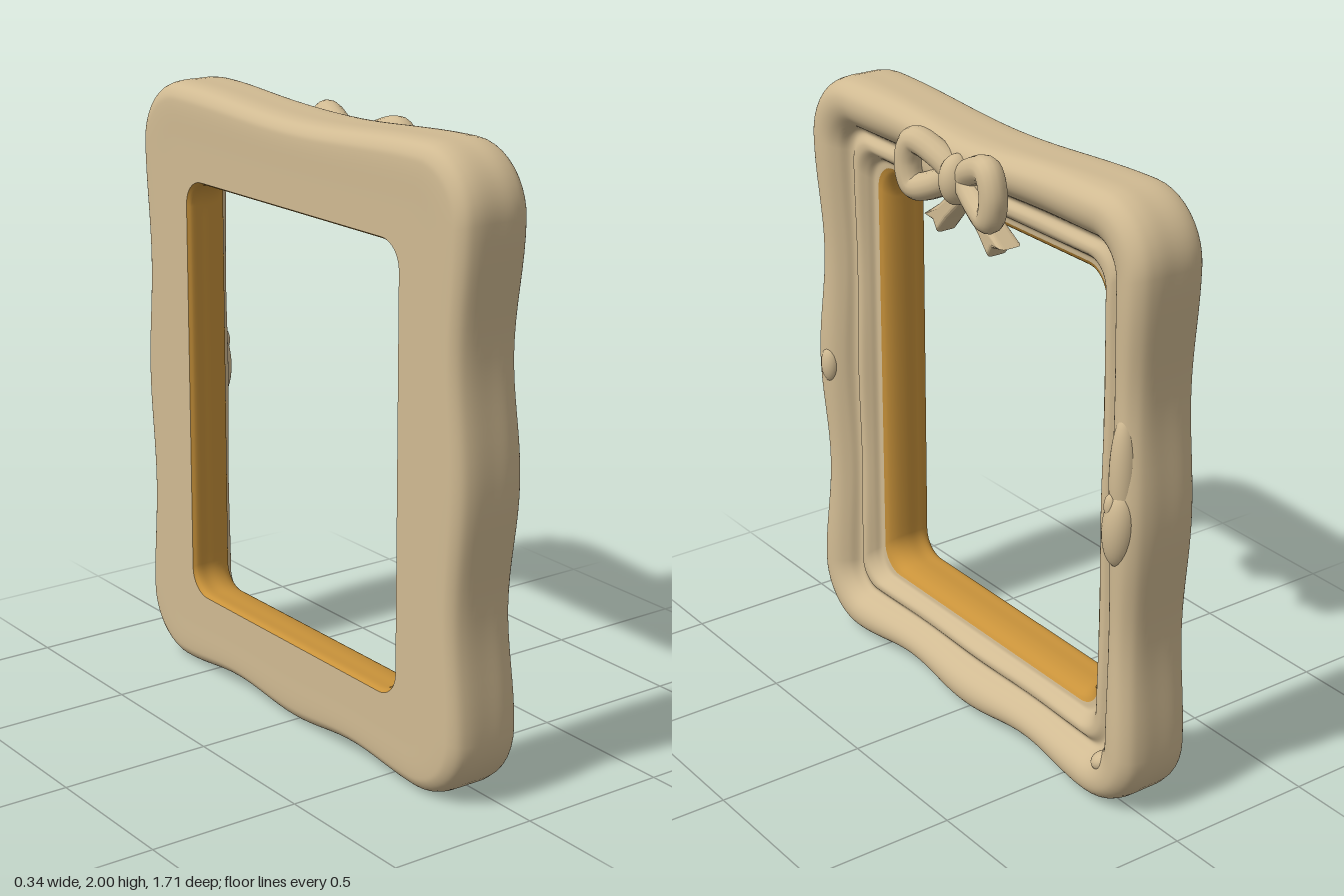
import * as THREE from 'three';

const cream = new THREE.MeshStandardMaterial({ color: 0xd0ba92 });
cream.name = 'cream';
const gold = new THREE.MeshStandardMaterial({ color: 0xc8923a });
gold.name = 'gold';

// Local space: x across the frame, y up, z out of its face.
const ARC = 10, SIDE = 32;

// One wavy rounded-rectangle ring, inset by d from the outer edge, at depth z
function ring(d, z) {
  const hx = 0.855 - d, top = 2 - 1.03 * d, bottom = 0.005 + 0.94 * d;
  const r = Math.max(0.085, 0.21 - 0.75 * d);
  const wave = Math.max(0, 1 - d / 0.2);
  const front = THREE.MathUtils.smoothstep(z, 0, 0.08);
  const centres = [[hx - r, bottom + r], [hx - r, top - r], [-hx + r, top - r], [-hx + r, bottom + r]];
  const pts = [];
  for (let c = 0; c < 4; c++) {
    const a0 = (c - 1) * Math.PI / 2;
    const [cx, cy] = centres[c], [nx, ny] = centres[(c + 1) % 4];
    for (let i = 0; i < ARC; i++) {
      const a = a0 + (i / ARC) * Math.PI / 2;
      pts.push([cx + r * Math.cos(a), cy + r * Math.sin(a), z]);
    }
    // straight run after this corner: top, left, bottom or right
    const a = a0 + Math.PI / 2, out = [Math.cos(a), Math.sin(a)];
    for (let i = 0; i < SIDE; i++) {
      const t = i / SIDE, u = 2 * t - 1;
      const double = Math.sin(Math.PI * u) ** 2;
      const single = Math.cos(Math.PI * u / 2) ** 2;
      const push = -wave * (c === 1 ? 0.03 * single : 0.028 * double);
      pts.push([
        cx + (nx - cx) * t + out[0] * (r + push),
        cy + (ny - cy) * t + out[1] * (r + push),
        z - 0.014 * front * double,
      ]);
    }
  }
  return pts;
}

// Skin a profile of [inset, depth] points right round the frame
function sweep(name, profile, steps, material) {
  const curve = new THREE.CatmullRomCurve3(profile.map(([d, z]) => new THREE.Vector3(d, z, 0)), false, 'centripetal');
  const rings = curve.getPoints(steps).map((p) => ring(p.x, p.y));
  const n = rings[0].length, index = [];
  for (let i = 0; i < rings.length - 1; i++) {
    for (let j = 0; j < n; j++) {
      const k = (j + 1) % n, a = i * n, b = a + n;
      index.push(a + j, a + k, b + j, a + k, b + k, b + j);
    }
  }
  const geo = new THREE.BufferGeometry();
  geo.setAttribute('position', new THREE.Float32BufferAttribute(rings.flat(2), 3));
  geo.setIndex(index);
  geo.computeVertexNormals();
  return part(name, geo, material);
}

function part(name, geo, material = cream) {
  const mesh = new THREE.Mesh(geo, material);
  mesh.name = name;
  return mesh;
}

function blob(name, pos, size, tilt = 0) {
  const mesh = part(name, new THREE.SphereGeometry(1, 28, 20));
  mesh.position.set(...pos);
  mesh.scale.set(...size);
  mesh.rotation.z = tilt;
  return mesh;
}

function makeBow() {
  const bow = new THREE.Group();
  bow.name = 'bow';
  bow.add(blob('bowKnot', [0, 1.855, 0.095], [0.05, 0.08, 0.06]));
  for (const s of [1, -1]) {
    const side = s > 0 ? 'right' : 'left';
    // puffed loop with a shallow hollow
    const path = [
      [0.035, 1.865, 0.085], [0.11, 1.915, 0.1], [0.19, 1.932, 0.118],
      [0.219, 1.865, 0.122], [0.195, 1.79, 0.118], [0.11, 1.81, 0.1],
    ].map(([x, y, z]) => new THREE.Vector3(s * x, y, z));
    const loop = new THREE.CatmullRomCurve3(path, true);
    bow.add(part(side + 'BowLoop', new THREE.TubeGeometry(loop, 60, 0.044, 14, true)));
    bow.add(blob(side + 'BowHollow', [s * 0.13, 1.86, 0.075], [0.085, 0.07, 0.03]));
    // notched ribbon tail
    const tail = new THREE.Shape([
      [0.0, 1.81], [0.05, 1.785], [0.12, 1.725], [0.185, 1.69],
      [0.145, 1.69], [0.13, 1.662], [0.09, 1.71], [0.02, 1.775],
    ].map(([x, y]) => new THREE.Vector2(s * x, y)));
    const geo = new THREE.ExtrudeGeometry(tail, {
      depth: 0.045, bevelEnabled: true, bevelThickness: 0.018, bevelSize: 0.014, bevelSegments: 4,
    });
    const mesh = part(side + 'BowTail', geo);
    mesh.position.z = 0.02;
    bow.add(mesh);
  }
  return bow;
}

export function createModel() {
  const model = new THREE.Group();
  model.name = 'ornateFrame';
  const body = new THREE.Group();
  body.name = 'frameBody';
  body.rotation.y = Math.PI / 2; // the face looks along +x
  model.add(body);

  // flat back, rounded rim, rolled front, groove and inner ridge
  body.add(sweep('frameMoulding', [
    [0.292, -0.17], [0.18, -0.17], [0.07, -0.17], [0.04, -0.165], [0.014, -0.145], [0.002, -0.11],
    [0, -0.04], [0.001, 0.02], [0.012, 0.06], [0.04, 0.087], [0.075, 0.093], [0.11, 0.082],
    [0.14, 0.055], [0.158, 0.026], [0.172, 0.02], [0.195, 0.035], [0.215, 0.034], [0.235, 0.012],
    [0.248, -0.008], [0.266, -0.012],
  ], 90, cream));

  // gilded inner lip running through to the back
  body.add(sweep('innerLip', [
    [0.266, -0.012], [0.28, -0.022], [0.293, -0.045], [0.3, -0.08], [0.3, -0.12], [0.3, -0.155], [0.292, -0.17],
  ], 24, gold));

  body.add(makeBow());

  // worn bumps on the sides and lower corner
  body.add(blob('rightSideBump', [0.775, 1.0, 0.072], [0.055, 0.13, 0.053], -0.08));
  body.add(blob('rightSideRise', [0.775, 1.16, 0.06], [0.045, 0.2, 0.046]));
  body.add(blob('rightSideBud', [0.765, 1.075, 0.1], [0.022, 0.04, 0.02]));
  body.add(blob('leftSideBump', [-0.77, 0.98, 0.075], [0.035, 0.065, 0.032]));
  body.add(blob('cornerBump', [0.7, 0.155, 0.05], [0.04, 0.032, 0.04], 0.5));
  return model;
}
